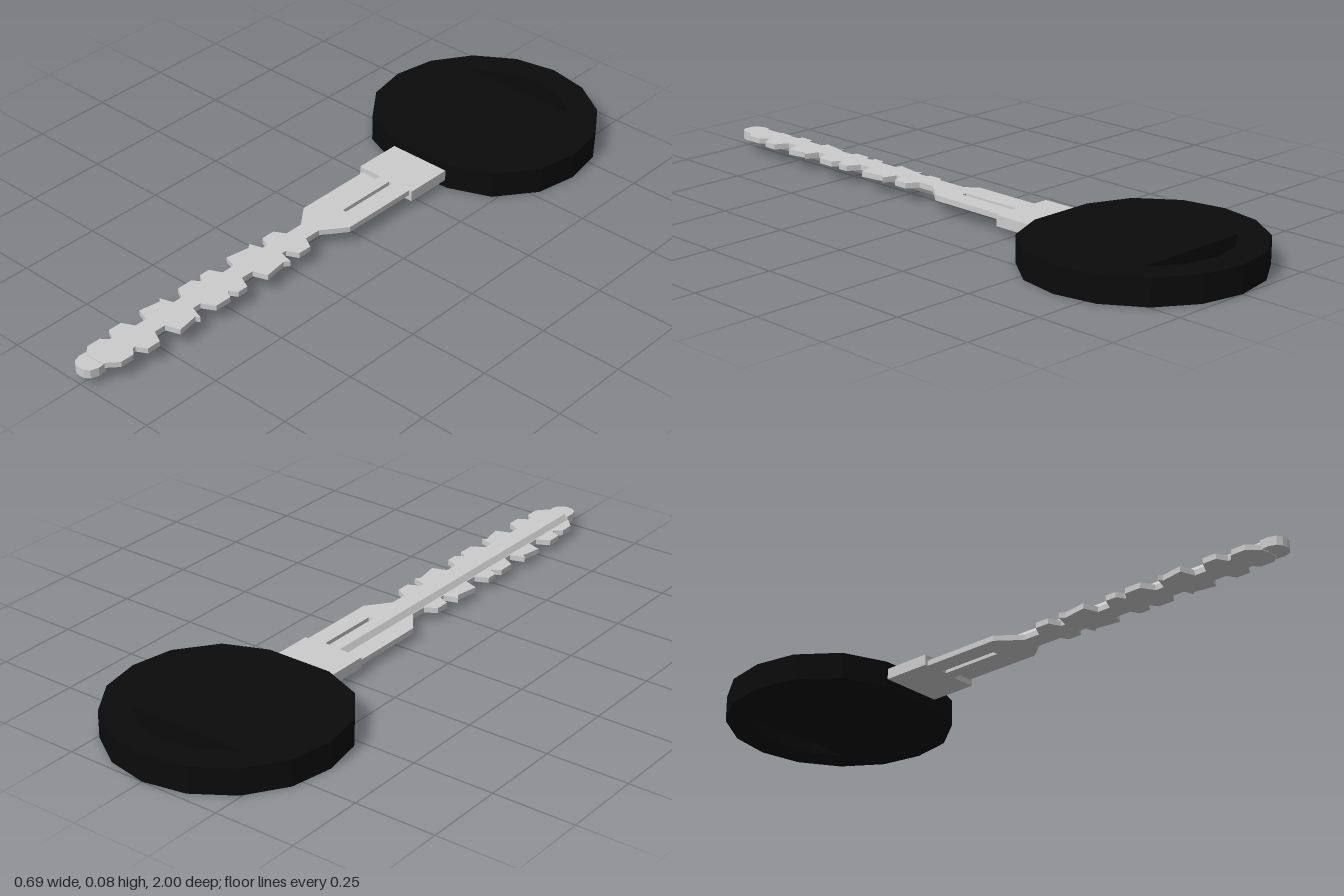
import * as THREE from 'three';

const MID = 0.0415, TOP = 0.058, BOTTOM = 0.025;
const toPath = (pts, Type = THREE.Shape) => new Type(pts.map(([x, y]) => new THREE.Vector2(x, y)));

// Plate drawn in plan (x, z), lying between heights y0 and y1
function plate(shape, y0, y1) {
  const g = new THREE.ExtrudeGeometry(shape, { depth: y1 - y0, bevelEnabled: false });
  return g.rotateX(Math.PI / 2).translate(0, y1, 0);
}

// Closed outline from its +x half
const mirrored = (half) => [...half, ...half.filter(([x]) => x > 0).reverse().map(([x, z]) => [-x, z])];

export function createModel() {
  const key = new THREE.Group();
  key.name = 'key';
  const metal = new THREE.MeshStandardMaterial({ color: 0xcccccc });
  const plastic = new THREE.MeshStandardMaterial({ color: 0x0b0b0b });
  const add = (name, geometry, material = metal) => {
    const mesh = new THREE.Mesh(geometry, material);
    mesh.name = name;
    key.add(mesh);
    return mesh;
  };

  // Faceted head with a crescent key-ring hole
  const head = toPath(mirrored([[0, -1], [0.13, -0.975], [0.245, -0.9], [0.322, -0.785],
    [0.346, -0.655], [0.322, -0.525], [0.235, -0.41], [0.105, -0.357]]));
  head.holes.push(toPath(mirrored([[0, -0.912], [0.105, -0.888], [0.192, -0.828]]), THREE.Path));
  add('head', plate(head, 0, 0.08), plastic);

  // Collar between head and blade
  add('collar', new THREE.BoxGeometry(0.2, TOP - BOTTOM, 0.18).translate(0, MID, -0.295));

  // Central rib with a stepped, half-turn symmetric section
  const halfSection = [[-0.033, MID], [-0.022, TOP], [0.017, TOP], [0.017, 0.046], [0.033, 0.046]];
  const section = [...halfSection, ...halfSection.map(([x, y]) => [-x, 2 * MID - y])];
  add('centralRib', new THREE.ExtrudeGeometry(toPath(section), { depth: 1.16, bevelEnabled: false })
    .translate(0, 0, -0.21));

  // Side flank: narrow slot, shoulder, then the row of cut teeth
  const valley = 0.036;
  const outer = [[0.09, -0.21], [0.09, 0.05], [valley, 0.12]];
  // Each tooth: root start, crest start, crest end, root end, crest width, following valley width
  const teeth = [
    [0.175, 0.195, 0.24, 0.257, 0.072, valley],
    [0.272, 0.285, 0.375, 0.355, 0.08, valley],
    [0.432, 0.45, 0.485, 0.498, 0.075, 0.052],
    [0.503, 0.517, 0.57, 0.592, 0.075, valley],
    [0.62, 0.635, 0.71, 0.69, 0.08, valley],
    [0.762, 0.782, 0.825, 0.842, 0.076, 0.045],
    [0.85, 0.868, 0.912, 0.945, 0.066, valley],
  ];
  let root = valley;
  for (const [a, b, c, d, width, next] of teeth) {
    outer.push([root, a], [width, b]);
    if (d < c) outer.push([width - 0.012, (b + c) / 2 - 0.03], [width, c], [next, c + 0.015]);
    else outer.push([width, c], [next, d]);
    root = next;
  }
  const inner = [[0.017, 0.95], [0.017, 0], [0.033, 0], [0.033, -0.2], [0.017, -0.2], [0.017, -0.21]];
  // Slightly concave crest points on the long teeth stay inside the outline
  const flank = plate(toPath([...outer.map(([x, z]) => [x, z]), ...inner]), MID, TOP);
  add('leftFlank', flank);
  const right = add('rightFlank', flank);
  right.rotation.z = Math.PI;
  right.position.y = 2 * MID;

  // Rounded tip
  const tip = toPath(mirrored([[0, 0.94], [0.036, 0.94], [0.038, 0.965], [0.03, 0.988], [0.015, 0.998], [0, 1]]));
  add('tip', plate(tip, BOTTOM + 0.003, TOP - 0.003));
  return key;
}
